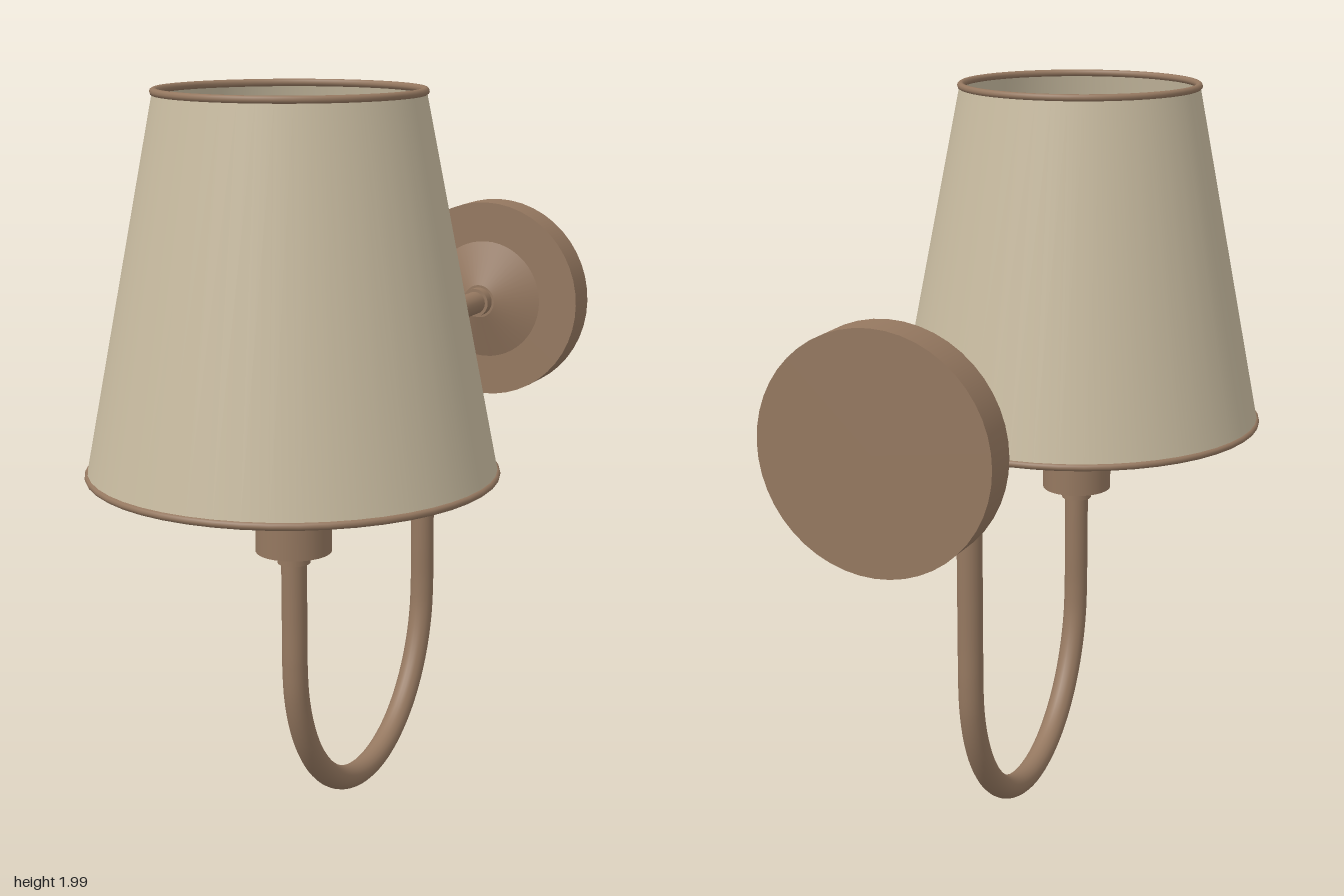
import * as THREE from 'three';

const bronze = new THREE.MeshStandardMaterial({ color: 0x957860 });
bronze.name = 'bronze';
const linen = new THREE.MeshStandardMaterial({ color: 0xc8bba0, side: THREE.DoubleSide });
linen.name = 'linen';
const glass = new THREE.MeshStandardMaterial({ color: 0xd6d6d6 });
glass.name = 'frostedGlass';

const LAMP_Z = 0.41, RISER_Z = -0.39, MOUNT_Y = 1.28;

export function createModel() {
  const model = new THREE.Group();
  model.name = 'wallLamp';

  function add(name, geometry, material, x = 0, y = 0, z = 0) {
    const mesh = new THREE.Mesh(geometry, material);
    mesh.name = name;
    mesh.position.set(x, y, z);
    model.add(mesh);
    return mesh;
  }
  // Upright cylinder on the lamp axis
  const post = (name, r, y0, y1) =>
    add(name, new THREE.CylinderGeometry(r, r, y1 - y0, 32), bronze, 0, (y0 + y1) / 2, LAMP_Z);
  // Cylinder or cone lying along z on the wall mount axis
  const mount = (name, rFront, rBack, z0, z1) => {
    const g = new THREE.CylinderGeometry(rFront, rBack, z1 - z0, 48).rotateX(Math.PI / 2);
    return add(name, g, bronze, 0, MOUNT_Y, (z0 + z1) / 2);
  };

  // Wall mount
  mount('wallPlate', 0.3, 0.3, -0.945, -0.843);
  mount('plateCone', 0.05, 0.18, -0.843, -0.795);
  mount('armCollar', 0.043, 0.043, -0.797, -0.763);

  // Bent arm: wall, elbow, riser, U bend, lamp stem
  const v = (y, z) => new THREE.Vector3(0, y, z);
  const points = [v(MOUNT_Y, -0.79), v(MOUNT_Y, -0.7)];
  const elbow = new THREE.QuadraticBezierCurve3(
    v(MOUNT_Y, -0.63), v(MOUNT_Y, RISER_Z), v(1.05, RISER_Z));
  points.push(...elbow.getPoints(8), v(0.8, RISER_Z), v(0.6, RISER_Z));
  for (let i = 0; i <= 16; i++) {
    const a = Math.PI * i / 16;
    points.push(v(0.49 - 0.45 * Math.sin(a), 0.01 - 0.4 * Math.cos(a)));
  }
  points.push(v(0.6, LAMP_Z), v(0.83, LAMP_Z));
  const path = new THREE.CatmullRomCurve3(points, false, 'centripetal');
  add('arm', new THREE.TubeGeometry(path, 140, 0.034, 20), bronze);

  // Lamp holder
  post('stemCollar', 0.043, 0.775, 0.815);
  post('socket', 0.1, 0.808, 1.03);
  post('socketFlange', 0.128, 1.012, 1.045);
  post('bulbNeck', 0.07, 1.04, 1.075);

  // Bulb
  const bulbProfile = [
    [0.055, 1.06], [0.062, 1.1], [0.08, 1.17], [0.096, 1.25], [0.105, 1.33],
    [0.098, 1.4], [0.075, 1.455], [0.04, 1.49], [0, 1.505],
  ].map(([r, y]) => new THREE.Vector2(r, y));
  add('bulb', new THREE.LatheGeometry(bulbProfile, 32), glass, 0, 0, LAMP_Z);

  // Open tapered shade with rolled rims
  add('shade', new THREE.CylinderGeometry(0.338, 0.528, 0.965, 48, 1, true), linen, 0, 1.5075, LAMP_Z);
  for (const [name, r, y] of [['topRim', 0.335, 1.99], ['bottomRim', 0.524, 1.026]]) {
    add(name, new THREE.TorusGeometry(r, 0.01, 10, 48).rotateX(Math.PI / 2), bronze, 0, y, LAMP_Z);
  }

  return model;
}
